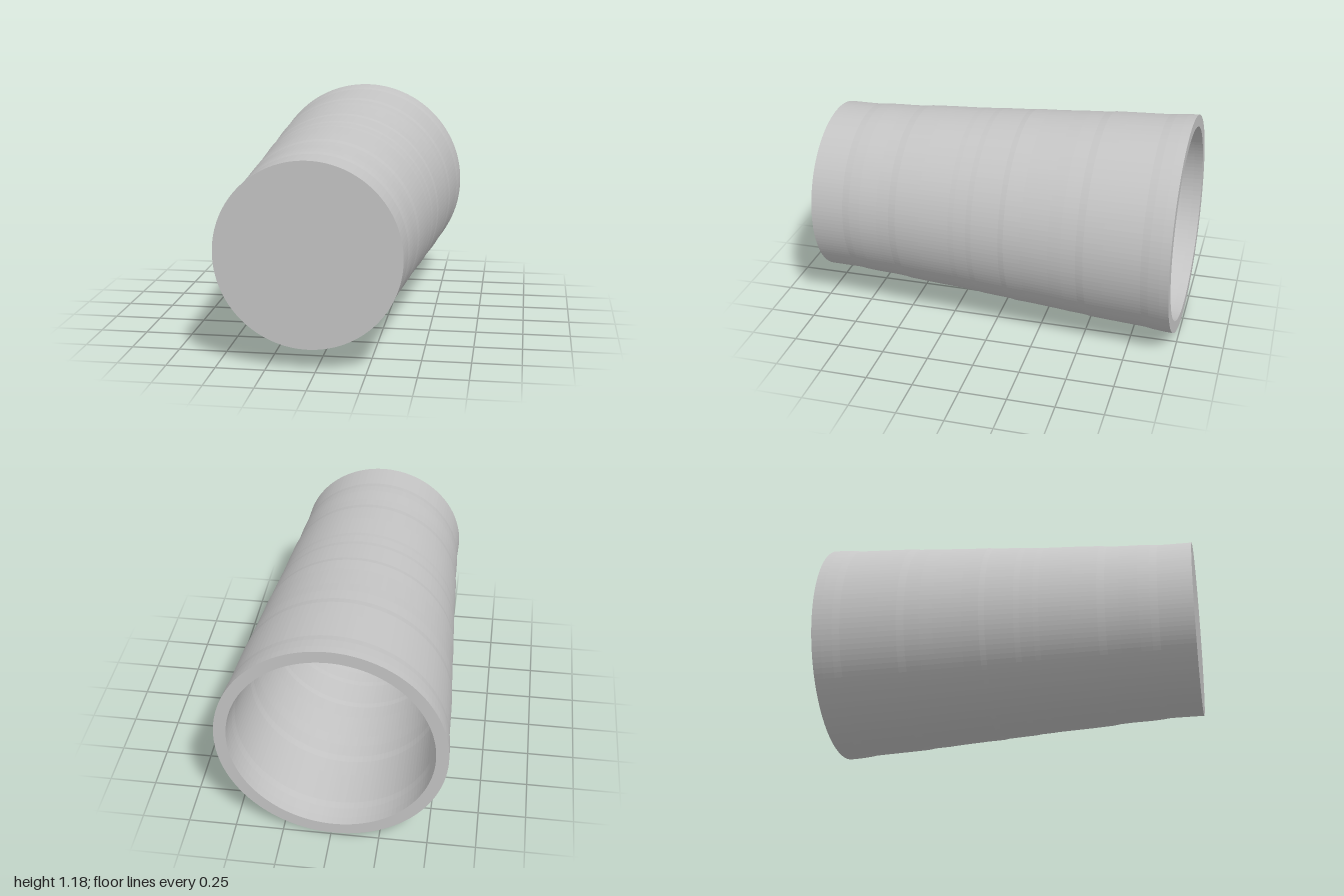
import * as THREE from 'three';

const LENGTH = 1.978, WALL = 0.064, FLOOR = 0.065, SIDES = 128;

// Outer wall: [distance from base, radius], with short steeper ridges
const outer = [
  [0, 0.468], [0.18, 0.469], [0.22, 0.474], [0.28, 0.478], [0.38, 0.481],
  [0.45, 0.485], [0.49, 0.491], [0.62, 0.499], [0.79, 0.507], [0.82, 0.510],
  [0.89, 0.514], [0.92, 0.518], [1.07, 0.527], [1.10, 0.532], [1.19, 0.536],
  [1.34, 0.546], [1.41, 0.552], [1.49, 0.556], [1.53, 0.562], [1.63, 0.567],
  [1.83, 0.576], [1.87, 0.582], [1.93, 0.587], [LENGTH, 0.589],
];

export function createModel() {
  const model = new THREE.Group();
  model.name = 'cup';
  const grey = new THREE.MeshStandardMaterial({ color: 0xc4c4c4, flatShading: true });
  grey.name = 'light grey';

  // Closed section: base, outer wall, rim, inner wall, floor
  const inner = outer
    .filter(([d]) => d > FLOOR)
    .reverse()
    .map(([d, r]) => [d, r - WALL]);
  const section = [[0, 0], ...outer, ...inner, [FLOOR, outer[0][1] - WALL], [FLOOR, 0]];
  const geometry = new THREE.LatheGeometry(section.map(([d, r]) => new THREE.Vector2(r, d)), SIDES);

  // Lay the cup down with its base forward and its opening at the back
  geometry.translate(0, -LENGTH / 2, 0);
  geometry.rotateX(-Math.PI / 2);
  const body = new THREE.Mesh(geometry, grey);
  body.name = 'cupBody';
  body.rotation.set(0.005, -0.02, 0);
  body.position.set(-0.02, 0.585, 0);
  model.add(body);
  return model;
}
